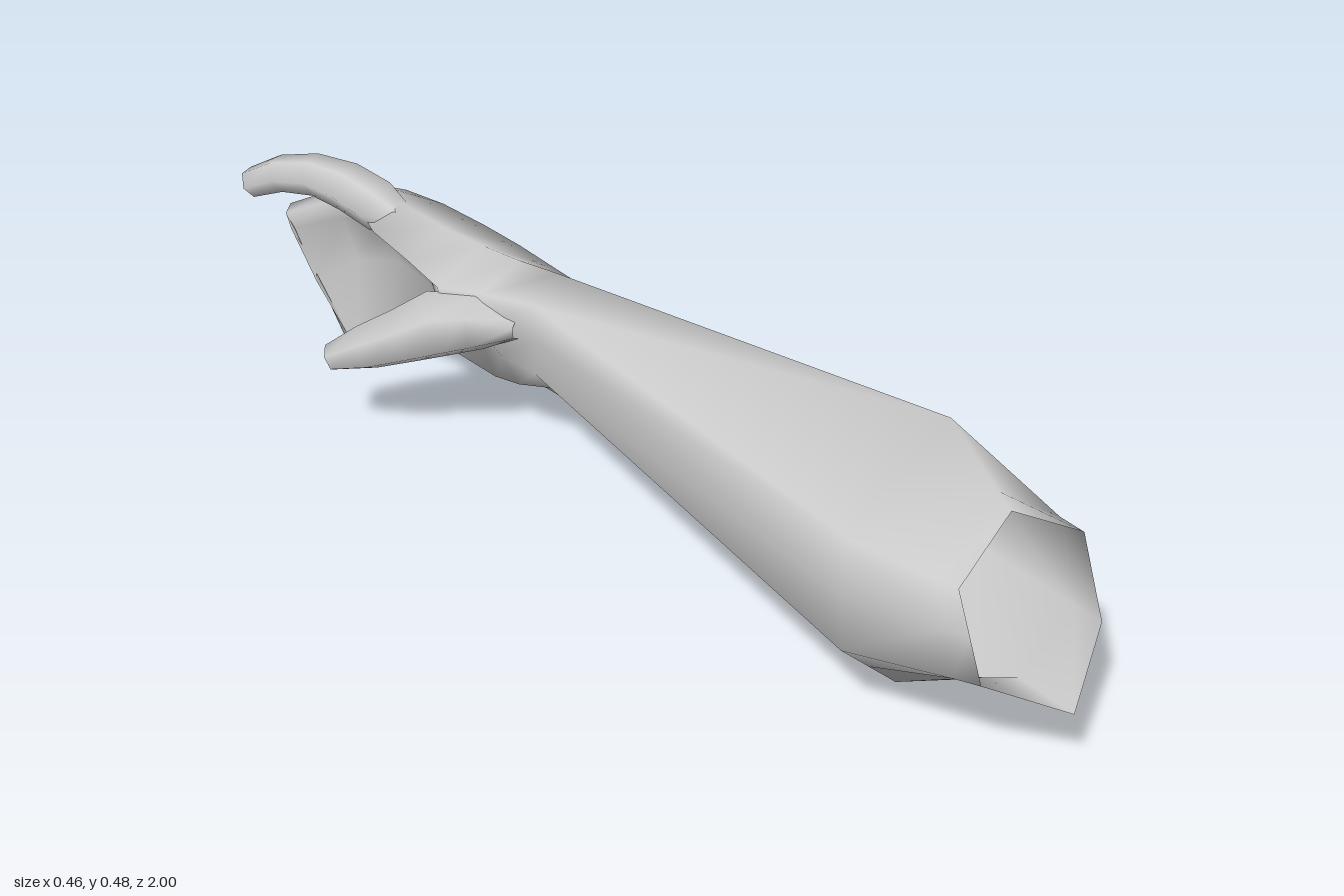
import * as THREE from 'three';

const material = new THREE.MeshStandardMaterial({ color: 0xcccccc, side: THREE.DoubleSide });

// Skin a list of equal-sized point rings, closing the far end
function loft(name, rings) {
  const n = rings[0].length;
  const last = rings[rings.length - 1];
  const pos = rings.flat(2);
  const idx = [];
  for (let i = 0; i < rings.length - 1; i++) {
    for (let j = 0; j < n; j++) {
      const a = i * n + j, b = i * n + (j + 1) % n;
      idx.push(a, b, a + n, b, b + n, a + n);
    }
  }
  const base = (rings.length - 1) * n;
  for (let k = 0; k < 3; k++) pos.push(last.reduce((s, p) => s + p[k], 0) / n);
  for (let j = 0; j < n; j++) idx.push(base + j, base + (j + 1) % n, base + n);
  const geo = new THREE.BufferGeometry();
  geo.setAttribute('position', new THREE.Float32BufferAttribute(pos, 3));
  geo.setIndex(idx);
  geo.computeVertexNormals();
  const mesh = new THREE.Mesh(geo, material);
  mesh.name = name;
  return mesh;
}

// Forearm hexagon (upper left, top, upper right, right, bottom, left) widened to eight points
function armRing(h) {
  const mid = (a, b) => a.map((v, k) => (v + b[k]) / 2);
  return [...h.slice(0, 5), mid(h[4], h[5]), h[5], mid(h[5], h[0])];
}

// Tapered six-sided finger along a smooth path
function finger(name, points, radii) {
  const curve = new THREE.CatmullRomCurve3(points.map(p => new THREE.Vector3(...p)));
  const steps = radii.length - 1;
  const { normals, binormals } = curve.computeFrenetFrames(steps);
  const rings = radii.map((r, i) => Array.from({ length: 6 }, (_, j) => {
    const a = j * Math.PI / 3;
    return curve.getPointAt(i / steps)
      .addScaledVector(normals[i], r * Math.cos(a))
      .addScaledVector(binormals[i], r * Math.sin(a)).toArray();
  }));
  return loft(name, rings);
}

export function createModel() {
  const group = new THREE.Group();
  group.name = 'forearmAndHand';

  // Open elbow end with a projecting lower lip, thick forearm and wrist
  const arm = [
    [[-0.095, 0.395, 0.85], [0.05, 0.457, 0.825], [0.155, 0.40, 0.89], [0.19, 0.22, 0.92], [0.03, 0.168, 1.0], [-0.095, 0.24, 0.91]],
    [[-0.104, 0.397, 0.81], [0.07, 0.462, 0.78], [0.17, 0.39, 0.83], [0.197, 0.215, 0.86], [0.045, 0.16, 0.875], [-0.107, 0.233, 0.86]],
    [[-0.135, 0.405, 0.65], [0.15, 0.48, 0.61], [0.225, 0.355, 0.6], [0.232, 0.195, 0.6], [0.0, 0.045, 0.66], [-0.152, 0.2, 0.67]],
    [[0.0, 0.37, -0.25], [0.07, 0.405, -0.26], [0.135, 0.35, -0.25], [0.145, 0.22, -0.25], [0.07, 0.14, -0.23], [0.005, 0.22, -0.25]],
  ].map(armRing);

  // Palm with the thumb muscle and web
  const palm = [
    [[-0.04, 0.37, -0.34], [0.05, 0.405, -0.34], [0.13, 0.36, -0.34], [0.146, 0.22, -0.34], [0.09, 0.12, -0.34], [0.04, 0.14, -0.34], [0.0, 0.22, -0.34], [-0.05, 0.3, -0.34]],
    [[-0.08, 0.365, -0.42], [0.03, 0.41, -0.42], [0.12, 0.375, -0.42], [0.148, 0.21, -0.42], [0.105, 0.1, -0.42], [0.05, 0.115, -0.42], [0.02, 0.2, -0.42], [-0.07, 0.29, -0.42]],
    [[-0.075, 0.38, -0.51], [0.01, 0.42, -0.51], [0.11, 0.385, -0.51], [0.15, 0.2, -0.51], [0.115, 0.085, -0.51], [0.065, 0.1, -0.51], [0.05, 0.21, -0.5], [-0.03, 0.32, -0.5]],
    [[-0.07, 0.395, -0.62], [0.0, 0.43, -0.62], [0.1, 0.39, -0.62], [0.15, 0.2, -0.62], [0.125, 0.077, -0.62], [0.075, 0.09, -0.62], [0.065, 0.22, -0.62], [0.0, 0.34, -0.62]],
  ];
  // Knuckles and the closed group of curled fingers
  const curledFingers = [
    [[-0.01, 0.37, -0.74], [0.04, 0.405, -0.74], [0.105, 0.37, -0.74], [0.14, 0.22, -0.75], [0.13, 0.058, -0.73], [0.08, 0.065, -0.72], [0.08, 0.22, -0.74], [0.04, 0.32, -0.74]],
    [[0.0, 0.34, -0.85], [0.03, 0.36, -0.85], [0.07, 0.31, -0.86], [0.09, 0.19, -0.86], [0.085, 0.028, -0.8], [0.055, 0.035, -0.78], [0.045, 0.2, -0.83], [0.02, 0.3, -0.84]],
    [[-0.05, 0.3, -0.93], [-0.03, 0.31, -0.94], [-0.015, 0.25, -0.963], [0.015, 0.13, -0.935], [0.018, 0.0, -0.84], [0.012, 0.01, -0.81], [-0.01, 0.14, -0.9], [-0.04, 0.26, -0.93]],
  ];
  group.add(loft('armAndPalm', [...arm, ...palm, ...curledFingers]));

  // Index finger, raised above the others
  group.add(finger('indexFinger',
    [[0.0, 0.385, -0.6], [-0.01, 0.405, -0.7], [-0.028, 0.418, -0.81], [-0.06, 0.4, -0.91], [-0.085, 0.36, -0.985]],
    [0.03, 0.05, 0.048, 0.041, 0.036, 0.03]));

  // Thumb, spread out and down from the palm
  group.add(finger('thumb',
    [[-0.01, 0.31, -0.28], [-0.055, 0.3, -0.39], [-0.135, 0.245, -0.49], [-0.207, 0.19, -0.59]],
    [0.02, 0.06, 0.068, 0.056, 0.046, 0.027]));

  return group;
}
